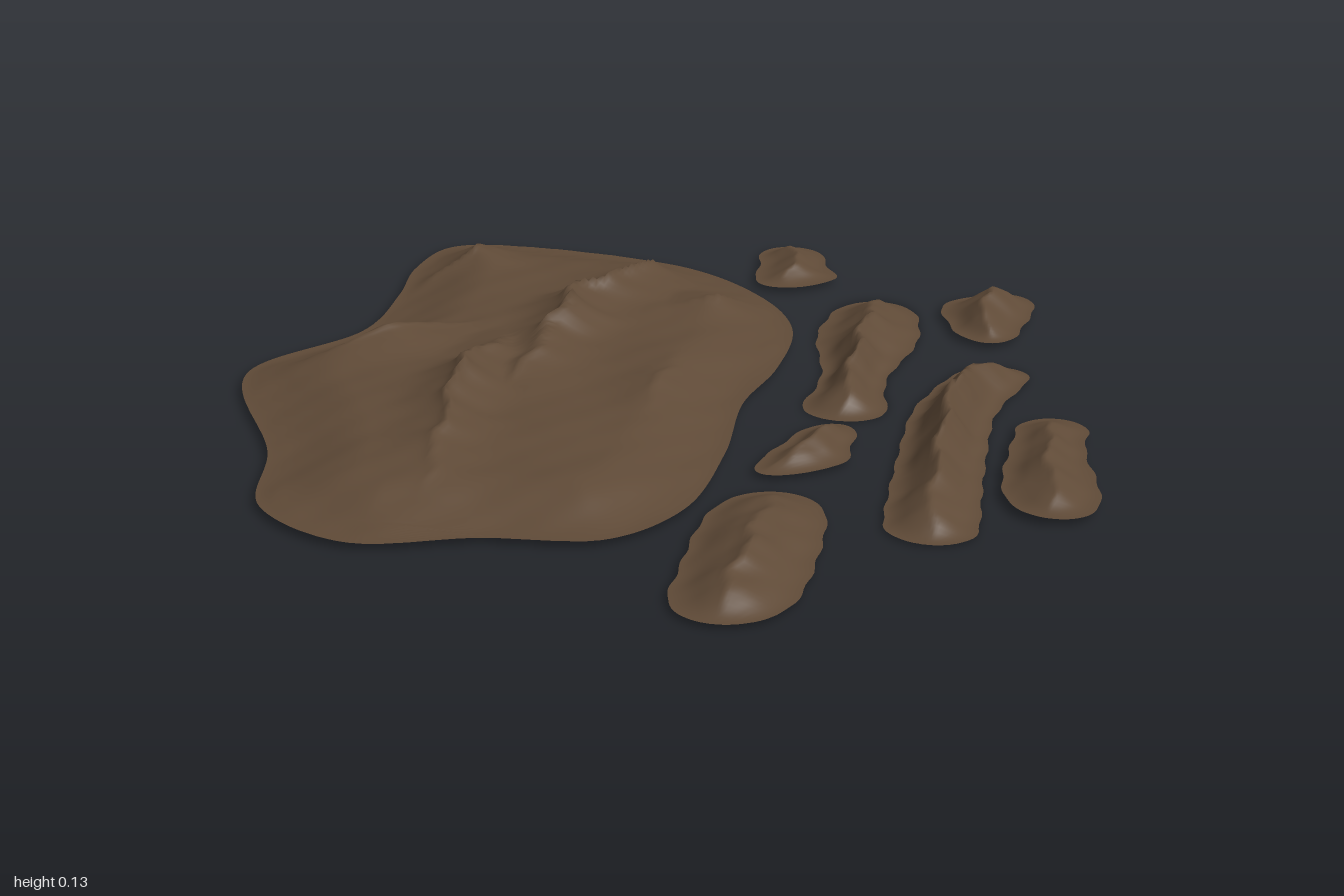
import * as THREE from 'three';

const earth = new THREE.MeshStandardMaterial({ color: 0x5f4a37, side: THREE.DoubleSide });
earth.name = 'brown earth';

// Mainland shore as [x, z]
const shore = [[-0.6, -0.88], [-0.13, -0.81], [0.08, -0.64], [0.18, -0.45], [0.185, -0.2], [0.15, 0], [0.16, 0.27],
  [0.13, 0.55], [0.02, 0.7], [-0.2, 0.735], [-0.43, 0.8], [-0.63, 0.68], [-0.7, 0.43], [-0.88, 0.02], [-0.72, -0.26],
  [-0.71, -0.5], [-0.725, -0.68], [-0.69, -0.84]];

// Mainland crest lines as [x, z, height above the plateau]
const mountains = [
  [[-0.18, -0.78, 0], [-0.17, -0.58, 0.045], [-0.28, -0.4, 0.06], [-0.27, -0.27, 0.08], [-0.3, 0.1, 0.01]],
  [[-0.37, -0.12, 0.02], [-0.4, 0.13, 0.075], [-0.37, 0.35, 0.045], [-0.33, 0.65, 0]],
  [[-0.76, 0.01, 0.005], [-0.62, -0.1, 0.04], [-0.47, -0.24, 0.005]],
  [[-0.08, -0.42, 0.005], [0, -0.46, 0.03], [0.08, -0.53, 0.005]],
  [[-0.01, -0.12, 0.01], [-0.01, 0.03, 0.025], [-0.02, 0.2, 0]],
  [[-0.59, -0.8, 0], [-0.58, -0.65, 0.04], [-0.65, -0.57, 0.015]],
];

const clamp = (t) => Math.min(1, Math.max(0, t));
const smooth = (t) => clamp(t) ** 2 * (3 - 2 * clamp(t));

// Crest height at a point: a sharp spine on a soft, broad foot
function ridgeHeight(x, z, crest, foot) {
  let best = 0;
  for (let i = 0; i + 1 < crest.length; i++) {
    const [ax, az, ah] = crest[i], [bx, bz, bh] = crest[i + 1];
    const dx = bx - ax, dz = bz - az;
    const t = clamp(((x - ax) * dx + (z - az) * dz) / (dx * dx + dz * dz));
    const d = Math.hypot(x - ax - t * dx, z - az - t * dz);
    const shape = 0.45 * Math.exp(-d / 0.016) + 0.55 * Math.exp(-((d / foot) ** 2));
    best = Math.max(best, (ah + (bh - ah) * t) * shape);
  }
  return best;
}

// Ground height: rim, slope up from the shore, then ridges and rolling ground
function landHeight(land, x, z) {
  let d = Infinity;
  for (const p of land.edge) d = Math.min(d, Math.hypot(x - p.x, z - p.z));
  const wx = x + 0.008 * Math.sin(31 * z) + 0.004 * Math.sin(74 * z + 1);
  const wz = z + 0.008 * Math.sin(29 * x);
  let crest = 0;
  for (const r of land.ridges) crest = Math.max(crest, ridgeHeight(wx, wz, r, land.foot));
  const roll = 0.003 * Math.sin(17 * x + 5 * z) * Math.sin(13 * z - 4 * x) + 0.001 * Math.sin(47 * x) * Math.sin(41 * z + 9 * x);
  return land.rim + land.rise * smooth(d / land.slope) + (crest + roll) * smooth(d / 0.05);
}

// Open sheet made of rows that run from shore to shore
function makeLand(land) {
  const { edge, cols, rows } = land;
  const zs = edge.map((p) => p.z);
  const zMin = Math.min(...zs) + 5e-4, zMax = Math.max(...zs) - 5e-4;
  const pos = [], index = [];
  for (let j = 0; j <= rows; j++) {
    const z = (zMin + zMax) / 2 - ((zMax - zMin) / 2) * Math.cos((Math.PI * j) / rows);
    let left = Infinity, right = -Infinity;
    edge.forEach((a, k) => {
      const b = edge[(k + 1) % edge.length];
      if ((a.z - z) * (b.z - z) > 0 || a.z === b.z) return;
      const x = a.x + ((b.x - a.x) * (z - a.z)) / (b.z - a.z);
      left = Math.min(left, x);
      right = Math.max(right, x);
    });
    for (let i = 0; i <= cols; i++) {
      const x = left + ((right - left) * i) / cols;
      pos.push(x, landHeight(land, x, z), z);
      if (i < cols && j < rows) {
        const a = j * (cols + 1) + i, b = a + cols + 1;
        index.push(a, b, a + 1, a + 1, b, b + 1);
      }
    }
  }
  const geometry = new THREE.BufferGeometry();
  geometry.setAttribute('position', new THREE.Float32BufferAttribute(pos, 3));
  geometry.setIndex(index);
  geometry.computeVertexNormals();
  const mesh = new THREE.Mesh(geometry, earth);
  mesh.name = land.name;
  return mesh;
}

function makeMainland() {
  const curve = new THREE.CatmullRomCurve3(shore.map(([x, z]) => new THREE.Vector3(x, 0, z)), true);
  return makeLand({ name: 'mainland', edge: curve.getPoints(300), ridges: mountains,
    rim: 0.024, rise: 0.042, slope: 0.2, foot: 0.075, cols: 110, rows: 130 });
}

// Long island with round ends; stations, evenly spaced from zMin to zMax,
// are [centre x, half width, crest height]
function makeIsland(name, zMin, zMax, rim, rise, stations) {
  const spine = new THREE.CatmullRomCurve3(stations.map((s) => new THREE.Vector3(...s)));
  const leftSide = [], rightSide = [], crest = [], steps = 64;
  for (let i = 0; i <= steps; i++) {
    const t = (1 - Math.cos((Math.PI * i) / steps)) / 2;
    const { x, y: width, z: height } = spine.getPoint(t);
    const z = zMin + (zMax - zMin) * t;
    const cap = clamp(Math.min(z - zMin, zMax - z) / width);
    const half = width * Math.sqrt(cap * (2 - cap)) + 0.003 * Math.sin(60 * z) * cap;
    leftSide.push(new THREE.Vector3(x - half, 0, z));
    rightSide.push(new THREE.Vector3(x + half, 0, z));
    if (i % 8 === 0) crest.push([x, z, height]);
  }
  return makeLand({ name, edge: [...rightSide, ...leftSide.reverse()], ridges: [crest],
    rim, rise, slope: 0.08, foot: 0.042, cols: 28, rows: 50 });
}

export function createModel() {
  const group = new THREE.Group();
  group.name = 'archipelago';
  group.add(
    makeMainland(),
    makeIsland('northIslet', -1, -0.71, 0.024, 0.012, [[0.1, 0.08, 0], [0.11, 0.075, 0.02], [0.135, 0.09, 0.024], [0.11, 0.08, 0]]),
    makeIsland('innerLongIsland', -0.69, 0.03, 0.012, 0.018, [[0.34, 0.08, 0], [0.342, 0.108, 0.045], [0.345, 0.068, 0.052], [0.35, 0.1, 0]]),
    makeIsland('northEastIslet', -0.76, -0.44, 0.024, 0.018, [[0.615, 0.07, 0], [0.58, 0.1, 0.035], [0.585, 0.08, 0.025], [0.6, 0.05, 0]]),
    makeIsland('outerLongIsland', -0.32, 0.595, 0.016, 0.022, [[0.64, 0.08, 0], [0.565, 0.082, 0.068], [0.57, 0.085, 0.05], [0.585, 0.09, 0]]),
    makeIsland('eastIsland', -0.03, 0.46, 0.026, 0.012, [[0.77, 0.07, 0], [0.765, 0.072, 0.026], [0.78, 0.09, 0.026], [0.8, 0.08, 0]]),
    makeIsland('middleIslet', 0.07, 0.35, 0.022, 0.012, [[0.35, 0.045, 0], [0.33, 0.062, 0.025], [0.315, 0.077, 0.02], [0.26, 0.05, 0]]),
    makeIsland('southIsland', 0.42, 0.99, 0.02, 0.02, [[0.29, 0.09, 0], [0.285, 0.115, 0.018], [0.285, 0.115, 0.034], [0.27, 0.1, 0]]),
  );
  return group;
}
